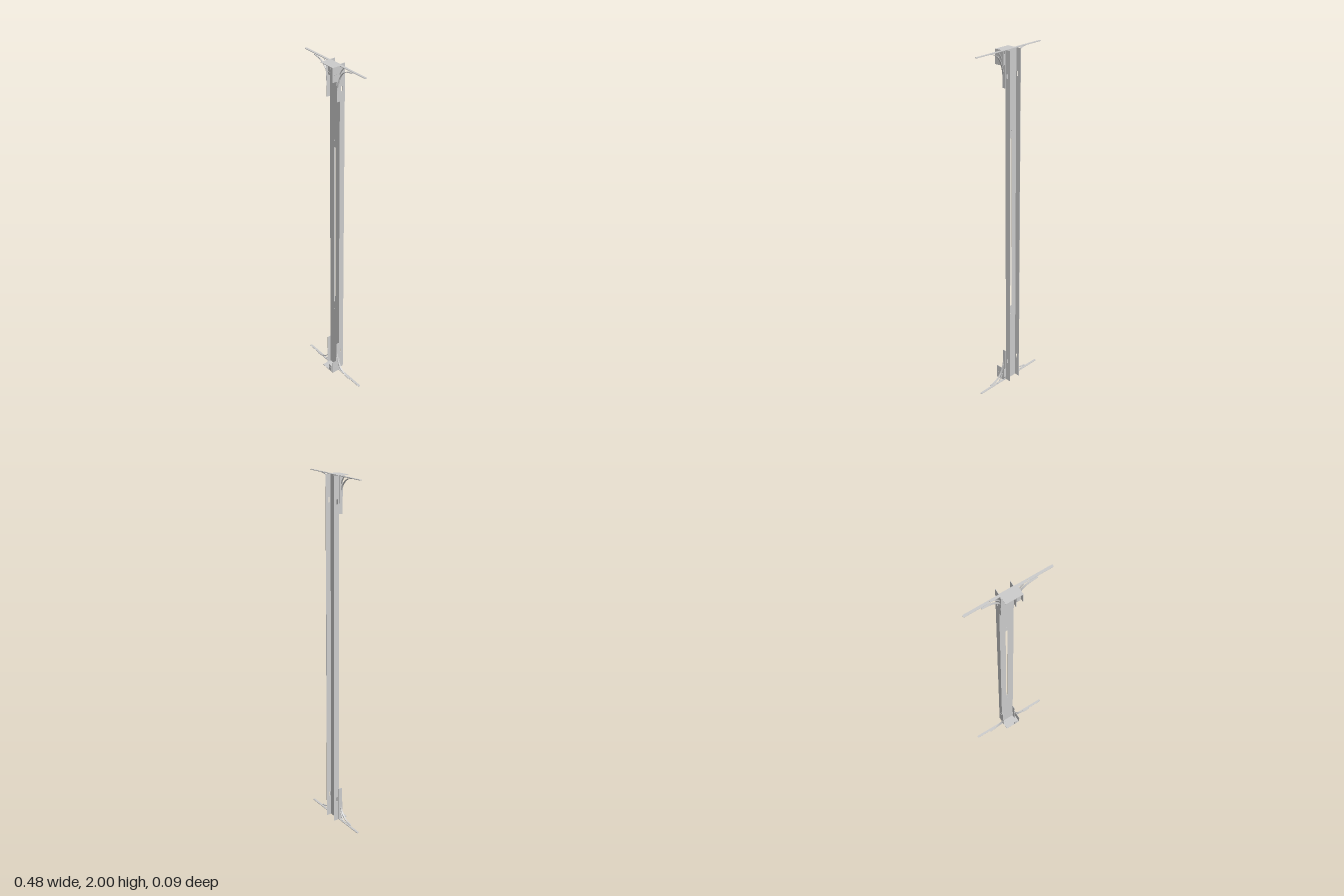
import * as THREE from 'three';

const material = new THREE.MeshStandardMaterial({ color: 0xcccccc, side: THREE.DoubleSide });
const T = 0.0025; // sheet thickness

function add(group, name, geometry) {
  const mesh = new THREE.Mesh(geometry, material);
  mesh.name = name;
  group.add(mesh);
  return mesh;
}

// Box given by its limits on each axis
function block(group, name, x0, x1, y0, y1, z0, z1) {
  const mesh = add(group, name, new THREE.BoxGeometry(Math.abs(x1 - x0), Math.abs(y1 - y0), Math.abs(z1 - z0)));
  mesh.position.set((x0 + x1) / 2, (y0 + y1) / 2, (z0 + z1) / 2);
  return mesh;
}

function polygon(points) {
  return new THREE.Shape(points.map(([x, y]) => new THREE.Vector2(x, y)));
}

function plate(shape, depth) {
  return new THREE.ExtrudeGeometry(shape, { depth, bevelEnabled: false, curveSegments: 10 });
}

// Rounded vertical slot
function slot(x, y0, y1, r) {
  const path = new THREE.Path();
  path.absarc(x, y1 - r, r, 0, Math.PI, false);
  path.absarc(x, y0 + r, r, Math.PI, Math.PI * 2, false);
  path.closePath();
  return path;
}

// Strip following a curve in the xy plane, with constant thickness
function ribbon(points, thickness, depth) {
  const curve = new THREE.CatmullRomCurve3(points.map(([x, y]) => new THREE.Vector3(x, y, 0)), false, 'centripetal');
  const a = [], b = [], n = 20;
  for (let i = 0; i <= n; i++) {
    const p = curve.getPoint(i / n), t = curve.getTangent(i / n), h = thickness / 2;
    a.push([p.x - t.y * h, p.y + t.x * h]);
    b.unshift([p.x + t.y * h, p.y - t.x * h]);
  }
  return plate(polygon([...a, ...b]), depth);
}

// Upright U-channel, open to the back
function makeChannel() {
  const g = new THREE.Group();
  g.name = 'channel';
  const web = polygon([[-0.048, 0], [0.033, 0], [0.033, 2], [-0.048, 2]]);
  web.holes.push(slot(-0.008, 0.49, 1.52, 0.006));
  for (const y of [0.44, 1.56]) web.holes.push(slot(-0.008, y - 0.004, y + 0.004, 0.0025));
  add(g, 'web', plate(web, T)).position.z = -0.0175;
  for (const x of [-0.048, 0.033 - T]) {
    const flange = polygon([[0.0155, 0], [0.047, 0], [0.047, 2], [0.0155, 2]]);
    for (const y of [0.135, 1.865]) flange.holes.push(slot(0.027, y - 0.014, y + 0.014, 0.004));
    add(g, 'flange', plate(flange, T).rotateY(Math.PI / 2)).position.x = x;
  }
  return g;
}

// End fitting; Y(d) is the height at distance d in from that end
function makeEnd(name, Y) {
  const g = new THREE.Group();
  g.name = name;

  // Angle bracket: end plate, side plate and small front tab
  block(g, 'endPlate', -0.048, 0.048, Y(0), Y(T), -0.016, 0.043);
  block(g, 'sidePlate', 0.048 - T, 0.048, Y(0), Y(0.08), -0.012, 0.043);
  block(g, 'mountingFoot', 0.031, 0.048, Y(0.02), Y(0.075), -0.015, -0.015 + T);
  block(g, 'frontTab', 0.01, 0.033, Y(0), Y(0.045), 0.043 - T, 0.043);

  // Screw heads on the side plate and front tab
  for (const z of [0.02, 0.033]) {
    const s = add(g, 'sideScrew', new THREE.CylinderGeometry(0.0025, 0.0025, 0.003, 12).rotateZ(Math.PI / 2));
    s.position.set(0.049, Y(0.04), z);
  }
  for (const x of [0.015, 0.027]) {
    const s = add(g, 'frontScrew', new THREE.CylinderGeometry(0.0025, 0.0025, 0.003, 12).rotateX(Math.PI / 2));
    s.position.set(x, Y(0.03), 0.0445);
  }

  for (const side of [-1, 1]) {
    const edge = side < 0 ? -0.049 : 0.0345; // outer face of the channel

    // Flat arm with clipped tip corners and a small hole
    const arm = polygon([[side * 0.03, 0.002], [side * 0.236, 0.002], [side * 0.24, 0.005],
      [side * 0.24, 0.0135], [side * 0.238, 0.0155], [side * 0.03, 0.0155]]);
    arm.holes.push(slot(side * 0.103, 0.005, 0.012, 0.0025));
    const armMesh = add(g, 'arm', plate(arm, 0.003).rotateX(-Math.PI / 2));
    armMesh.position.y = Math.min(Y(0), Y(0.003));

    // Curved brace from the channel side out to the arm
    const brace = [[edge, Y(0.2)], [edge + side * 0.001, Y(0.12)], [side * 0.052, Y(0.065)],
      [side * 0.072, Y(0.035)], [side * 0.105, Y(0.013)], [side * 0.15, Y(0.004)]];
    add(g, 'brace', ribbon(brace, 0.003, 0.009)).position.z = -0.004;

    // Inner strut and its foot along the channel
    add(g, 'strut', ribbon([[side * 0.049, Y(0.045)], [side * 0.062, Y(0.022)], [side * 0.078, Y(0.003)]], 0.003, 0.006))
      .position.z = -0.006;
    block(g, 'braceFoot', edge - side * 0.001, edge + side * 0.002, Y(0.003), Y(0.2), -0.016, 0);
    block(g, 'braceTab', edge - side * 0.001, edge + side * 0.002, Y(0.003), Y(0.11), -0.002, 0.008);
  }
  return g;
}

export function createModel() {
  const model = new THREE.Group();
  model.name = 'channelPost';
  model.add(makeChannel());
  model.add(makeEnd('lowerEnd', d => d));
  model.add(makeEnd('upperEnd', d => 2 - d));
  return model;
}
